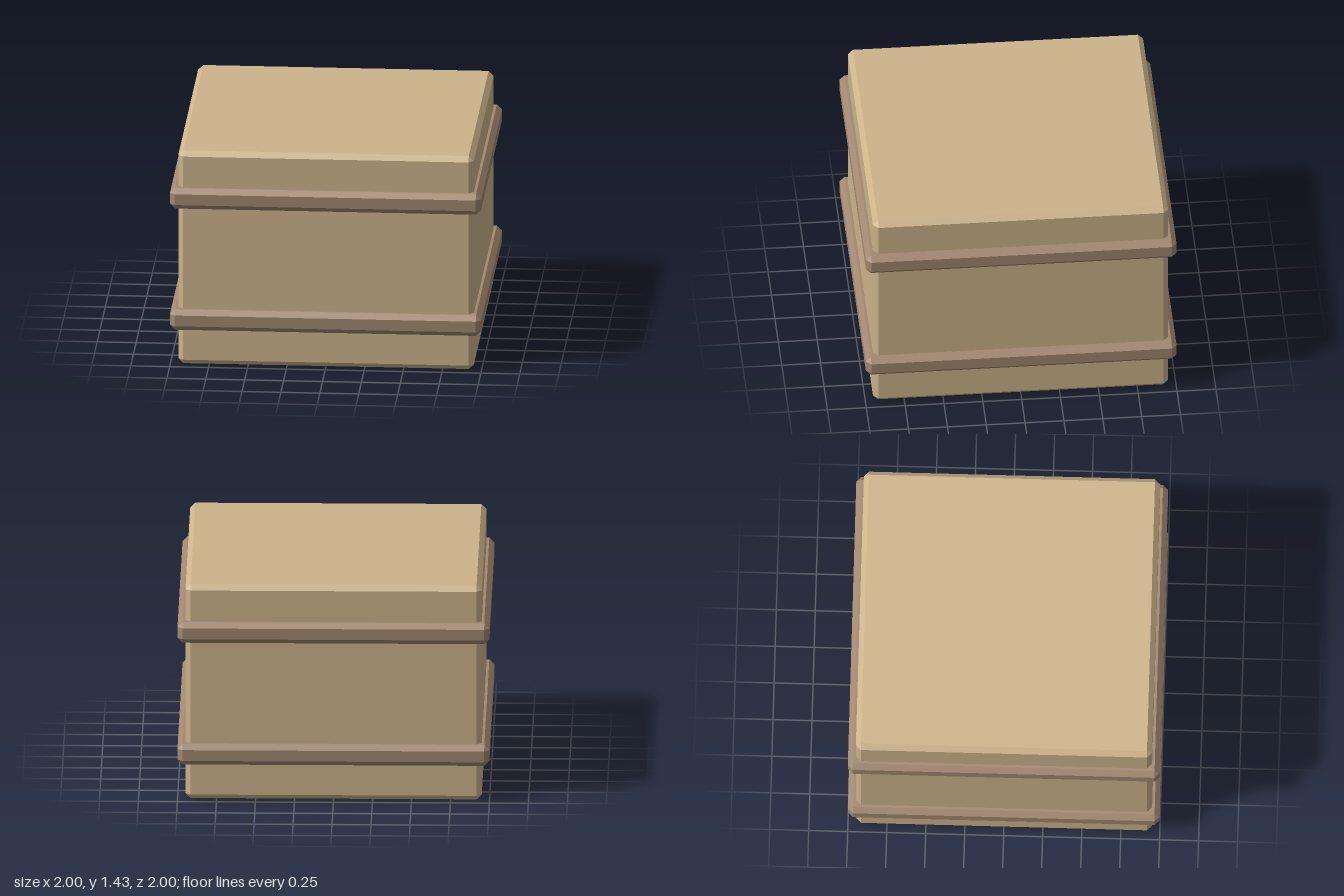
import * as THREE from 'three';
import { ConvexGeometry } from 'three/addons/geometries/ConvexGeometry.js';

// Box with every edge and corner cut flat by the same bevel
function chamferedBox(width, height, depth, bevel) {
  const half = [width / 2, height / 2, depth / 2];
  const points = [];
  for (const sx of [-1, 1]) for (const sy of [-1, 1]) for (const sz of [-1, 1]) {
    for (let face = 0; face < 3; face++) {
      const [x, y, z] = half.map((h, axis) => (axis === face ? h : h - bevel));
      points.push(new THREE.Vector3(sx * x, sy * y, sz * z));
    }
  }
  return new ConvexGeometry(points);
}

export function createModel() {
  const group = new THREE.Group();
  group.name = 'crate';
  const bodyMaterial = new THREE.MeshStandardMaterial({ color: 0xcdb48a, flatShading: true });
  const bandMaterial = new THREE.MeshStandardMaterial({ color: 0xa2886f, flatShading: true });

  // Main block
  const height = 1.43;
  const body = new THREE.Mesh(chamferedBox(1.9, height, 1.9, 0.033), bodyMaterial);
  body.name = 'body';
  body.position.y = height / 2;
  group.add(body);

  // Two bands around the block, equally far from its middle
  const bandGeometry = chamferedBox(2, 0.138, 2, 0.033);
  for (const [name, side] of [['lowerBand', -1], ['upperBand', 1]]) {
    const band = new THREE.Mesh(bandGeometry, bandMaterial);
    band.name = name;
    band.position.y = height / 2 + side * 0.407;
    group.add(band);
  }
  return group;
}
